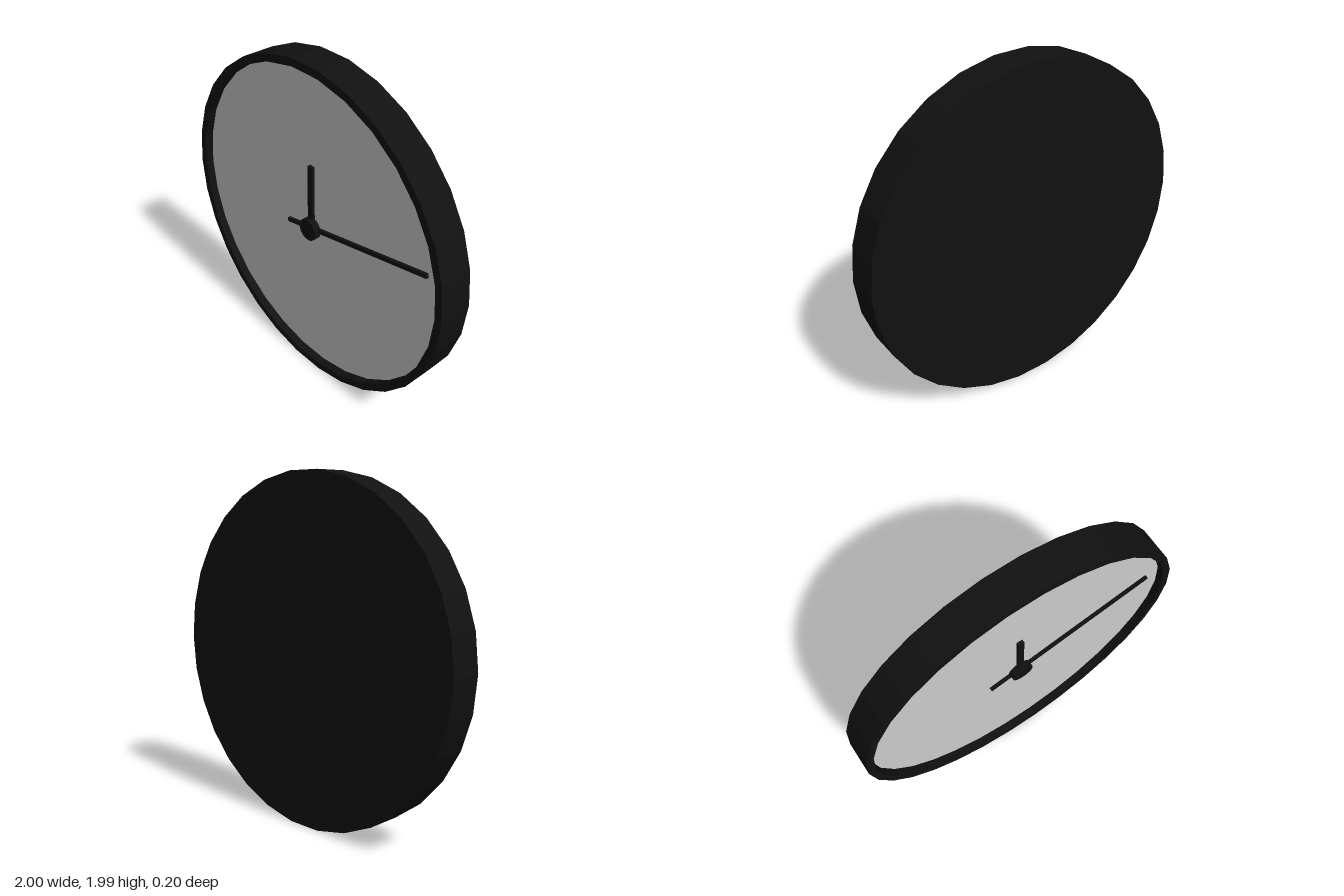
import * as THREE from 'three';

const SIDES = 30;
const RIM = 0.955;   // inner radius of the rim
const FACE_Z = 0.05; // depth of the recessed dial

export function createModel() {
  const black = new THREE.MeshStandardMaterial({ color: 0x111111, flatShading: true });
  const grey = new THREE.MeshStandardMaterial({ color: 0xcccccc });

  const clock = new THREE.Group();
  clock.name = 'wallClock';
  // The flat of the polygon rests on the ground
  clock.position.y = Math.cos(Math.PI / SIDES);

  const add = (name, geometry, material) => {
    const mesh = new THREE.Mesh(geometry, material);
    mesh.name = name;
    clock.add(mesh);
    return mesh;
  };

  // Case: closed back, outer wall, front rim and inner wall
  const profile = [[0, -0.1], [1, -0.1], [1, 0.1], [RIM, 0.1], [RIM, FACE_Z]]
    .map(([r, h]) => new THREE.Vector2(r, h));
  const caseGeometry = new THREE.LatheGeometry(profile, SIDES, Math.PI / 2);
  caseGeometry.rotateX(Math.PI / 2);
  add('case', caseGeometry, black);

  // Dial
  add('dial', new THREE.CircleGeometry(RIM, SIDES), grey).position.z = FACE_Z;

  // Hands: bars running along x from start to end, turned about the centre
  const addHand = (name, start, end, width, depth, angle) => {
    const bar = new THREE.BoxGeometry(end - start, width, depth);
    bar.translate((start + end) / 2, 0, FACE_Z + depth / 2);
    add(name, bar, black).rotation.z = angle;
  };
  addHand('hourHand', 0, 0.4, 0.035, 0.02, Math.PI / 2);
  addHand('minuteHand', -0.2, 0.87, 0.024, 0.018, THREE.MathUtils.degToRad(12));

  // Centre hub
  const hub = new THREE.CylinderGeometry(0.066, 0.066, 0.04, SIDES);
  hub.rotateX(Math.PI / 2);
  add('hub', hub, black).position.z = FACE_Z + 0.02;

  const model = new THREE.Group();
  model.name = 'model';
  model.add(clock);
  return model;
}
